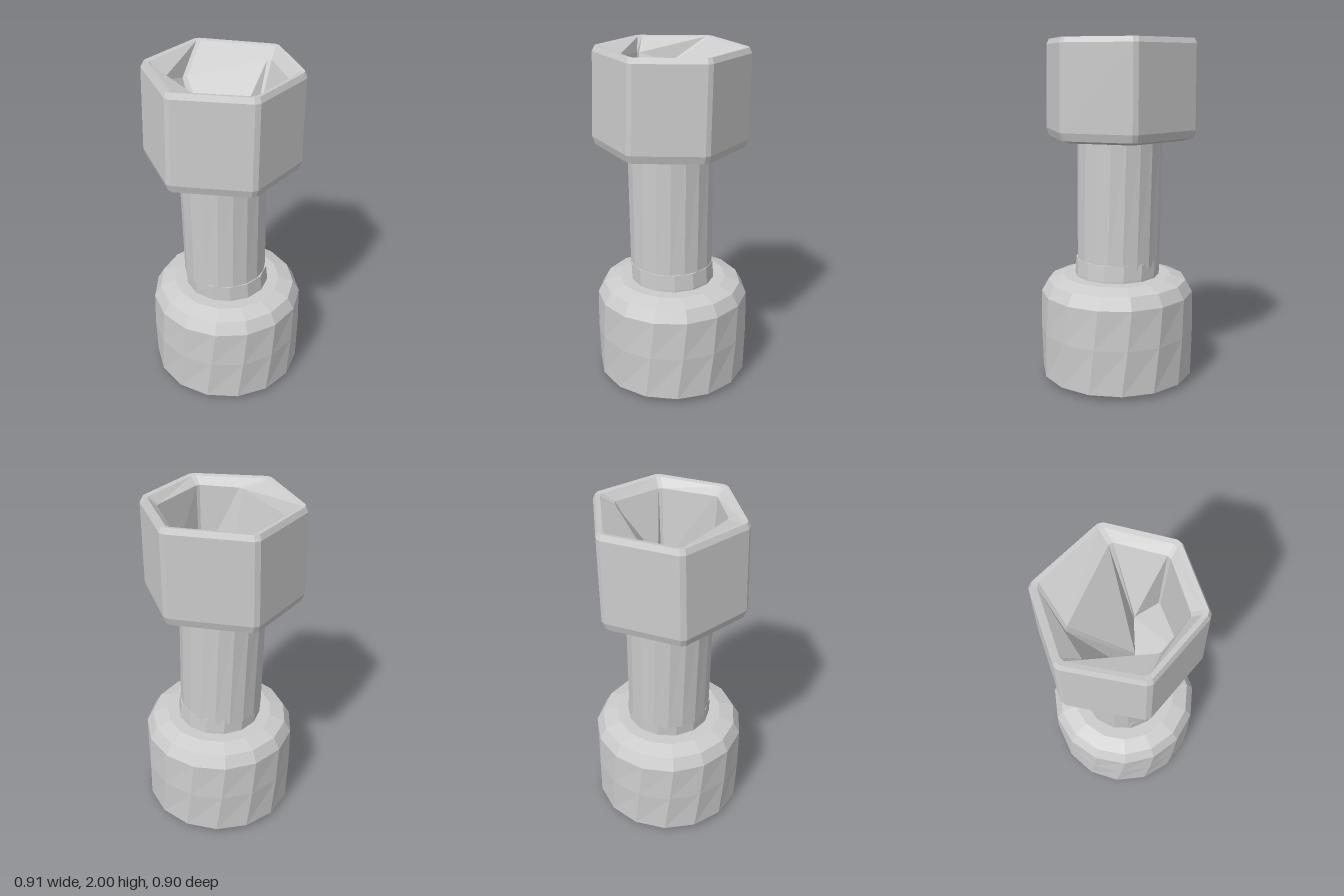
import * as THREE from 'three';

const material = new THREE.MeshStandardMaterial({ color: 0xcccccc, flatShading: true });

// Skin a stack of equal-length rings (counter-clockwise from above), closing both ends
function loft(name, rings) {
  const pos = [];
  const tri = (a, b, c) => pos.push(...a, ...b, ...c);
  const n = rings[0].length;
  for (let r = 0; r + 1 < rings.length; r++) {
    const lo = rings[r], hi = rings[r + 1];
    for (let i = 0; i < n; i++) {
      const j = (i + 1) % n;
      tri(lo[i], lo[j], hi[j]);
      tri(lo[i], hi[j], hi[i]);
    }
  }
  const first = rings[0], last = rings[rings.length - 1];
  for (let i = 1; i + 1 < n; i++) {
    tri(first[0], first[i + 1], first[i]);
    tri(last[0], last[i], last[i + 1]);
  }
  const geometry = new THREE.BufferGeometry();
  geometry.setAttribute('position', new THREE.Float32BufferAttribute(pos, 3));
  geometry.computeVertexNormals();
  const mesh = new THREE.Mesh(geometry, material);
  mesh.name = name;
  return mesh;
}

// Round ring with an optional twist and centre offset
function circle(sides, r, y, twist = 0, cx = 0, cz = 0) {
  return Array.from({ length: sides }, (_, i) => {
    const a = (i / sides) * Math.PI * 2 + twist;
    return [cx + r * Math.sin(a), y, cz + r * Math.cos(a)];
  });
}

// Replace every corner with two points to give a narrow bevel
function bevelCorners(points, t = 0.04) {
  const n = points.length;
  const mix = (a, b) => a.map((v, k) => v + (b[k] - v) * t);
  return points.flatMap((p, i) => [mix(p, points[(i + n - 1) % n]), mix(p, points[(i + 1) % n])]);
}

// Slightly uneven hexagon outline of the head, as [x, z]
const HEX = [[-0.21, 0.37], [0.21, 0.37], [0.44, 0.02], [0.22, -0.41], [-0.23, -0.41], [-0.45, -0.02]];
const hexRing = (scale, y, dx = 0) =>
  bevelCorners(HEX.map(([x, z]) => [x * scale + dx, y, (z + 0.02) * scale - 0.02]));

export function createModel() {
  const group = new THREE.Group();
  group.name = 'bolt';

  // Faceted drum with chamfered rims
  group.add(loft('base', [
    circle(15, 0.40, 0.005, 0.1),
    circle(15, 0.452, 0.035, 0.1),
    circle(15, 0.455, 0.3, 0.17),
    circle(15, 0.45, 0.53, 0.22),
    circle(15, 0.41, 0.6, 0.22),
    circle(15, 0.32, 0.63, 0.22),
  ]));

  // Short collar where the shaft meets the base
  group.add(loft('collar', [
    circle(14, 0.25, 0.61, 0.1),
    circle(14, 0.25, 0.64, 0.1),
    circle(14, 0.248, 0.73, 0.1, -0.005, -0.005),
  ]));

  // Shaft, leaning very slightly
  group.add(loft('shaft', [
    circle(18, 0.245, 0.7, 0, -0.005, -0.01),
    circle(18, 0.247, 1.45, 0.05, -0.013, -0.02),
  ]));

  // Hexagonal head: outside, rim, sloping ledge, then the uneven socket
  const ledge = [
    [-0.17, 1.96, 0.28], [0.16, 1.95, 0.29], [0.33, 1.95, 0.04],
    [-0.01, 1.86, -0.3], [-0.21, 1.92, -0.27], [-0.3, 1.95, 0.08],
  ];
  const socketFloor = [
    [-0.16, 1.5, 0.26], [0.14, 1.5, 0.25], [0.1, 1.5, 0.09],
    [-0.1, 1.48, 0.03], [-0.2, 1.48, 0.0], [-0.21, 1.48, 0.09],
  ];
  group.add(loft('head', [
    hexRing(0.86, 1.43, -0.01),
    hexRing(0.98, 1.445, -0.01),
    hexRing(1.015, 1.49, -0.01),
    hexRing(1, 1.97),
    hexRing(0.965, 2),
    hexRing(0.9, 1.995),
    bevelCorners(ledge),
    bevelCorners(socketFloor),
  ]));

  return group;
}
